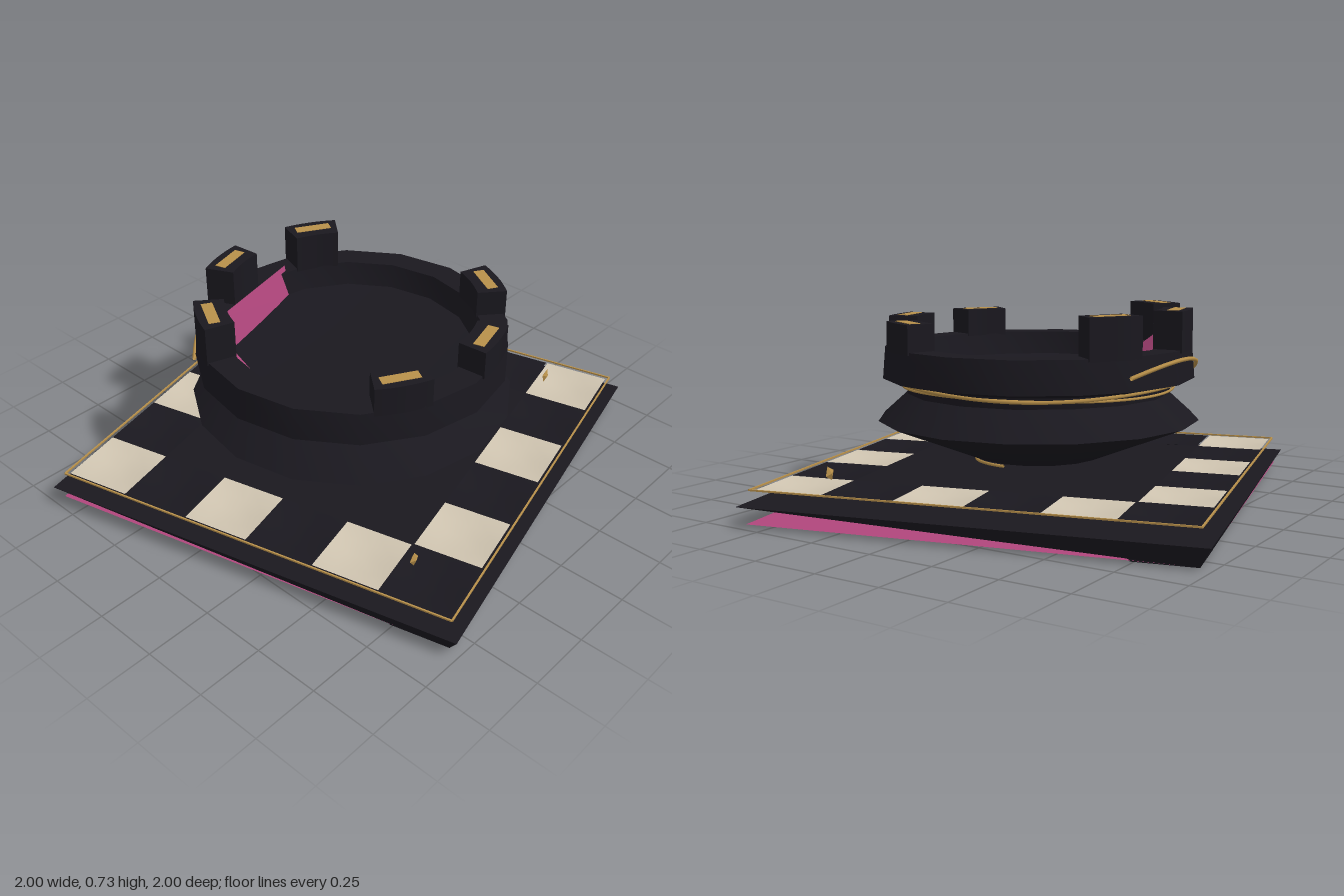
import * as THREE from 'three';
import { toCreasedNormals } from 'three/addons/utils/BufferGeometryUtils.js';

const paint = (color) => new THREE.MeshStandardMaterial({ color, side: THREE.DoubleSide });
const black = paint(0x1a181f);
const cream = paint(0xcfc4b0);
const pink = paint(0xb0467c);
const gold = paint(0xb8904a);

function add(parent, name, geometry, material, x = 0, y = 0, z = 0) {
  const mesh = new THREE.Mesh(geometry, material);
  mesh.name = name;
  mesh.position.set(x, y, z);
  parent.add(mesh);
  return mesh;
}

// Flat sheet fanned from the first of a few corner points
function sheet(points) {
  const pos = [];
  for (let i = 1; i < points.length - 1; i++) pos.push(...points[0], ...points[i], ...points[i + 1]);
  const g = new THREE.BufferGeometry();
  g.setAttribute('position', new THREE.Float32BufferAttribute(pos, 3));
  g.computeVertexNormals();
  return g;
}

// Thin strand through a list of points
function strand(points, radius, closed = false) {
  const curve = new THREE.CatmullRomCurve3(points.map((p) => new THREE.Vector3(...p)), closed);
  return new THREE.TubeGeometry(curve, 96, radius, 5, closed);
}

// Points around a circle; rise gives the height at each angle
function ringPoints(r, rise, from = 0, to = Math.PI * 2, n = 24) {
  return Array.from({ length: n }, (_, i) => {
    const a = from + ((to - from) * i) / n;
    return [r * Math.cos(a), rise(a), r * Math.sin(a)];
  });
}

// Square tile whose middle sags below its rim
function saggingTile(size, sag) {
  const g = new THREE.PlaneGeometry(size, size, 4, 4).rotateX(-Math.PI / 2);
  const p = g.attributes.position;
  for (let i = 0; i < p.count; i++) {
    const u = (2 * p.getX(i)) / size, v = (2 * p.getZ(i)) / size;
    p.setY(i, -sag * (1 - u * u) * (1 - v * v));
  }
  g.computeVertexNormals();
  return g;
}

function buildBoard() {
  const board = new THREE.Group();
  board.name = 'board';
  board.rotation.y = Math.atan(0.25);
  const h = 0.825, top = 0.075, b = 0.785, w = 0.22;

  // Top plate, with walls that taper away toward the two side corners
  add(board, 'boardTop', sheet([[-h, top, -h], [-h, top, h], [h, top, h], [h, top, -h]]), black);
  for (const s of [1, -1]) {
    const foot = [-s * b, 0, s * b], corner = [-s * h, top, s * h];
    add(board, 'boardWall', sheet([corner, foot, [s * h, top, s * h]]), black);
    add(board, 'boardWall', sheet([corner, [-s * h, top, -s * h], foot]), black);
    // Coloured underside, one sloping half on each side of the spine
    add(board, 'underside', sheet([[-b, 0.003, b], [b, 0.003, -b], [s * 0.8, s > 0 ? 0.01 : 0.025, s * 0.8]]), pink);
  }

  // Black spine under the plate, running between the front and back corners
  const outline = [[-b, -b], [-b, -b + w], [-0.08, 0.08], [b - w, b], [b, b], [b, b - w], [0.08, -0.08], [-b + w, -b]];
  const spine = new THREE.ExtrudeGeometry(new THREE.Shape(outline.map(([x, y]) => new THREE.Vector2(x, y))),
    { depth: 0.07, bevelEnabled: false });
  add(board, 'undersideSpine', spine.rotateX(-Math.PI / 2), black);

  // Chequered border of floating tiles
  const pitch = 0.26;
  const tile = saggingTile(0.253, 0.018);
  for (let i = 0; i < 6; i++) {
    for (let j = 0; j < 6; j++) {
      if (i % 5 && j % 5) continue;
      const light = (i + j) % 2 === 0;
      add(board, light ? 'lightTile' : 'darkTile', tile, light ? cream : black,
        (i - 2.5) * pitch, 0.127, (j - 2.5) * pitch);
    }
  }

  // Fine wire frame around the tiles
  const f = 0.79;
  const wire = new THREE.BoxGeometry(2 * f, 0.006, 0.006);
  for (let k = 0; k < 4; k++) {
    const a = k * Math.PI / 2;
    add(board, 'frameWire', wire, gold, f * Math.sin(a), 0.13, f * Math.cos(a)).rotation.y = a;
  }
  return board;
}

function buildTower() {
  const tower = new THREE.Group();
  tower.name = 'tower';

  // Flared foot, waist, collar and sunken floor in one profile
  const profile = [[0, 0.16], [0.24, 0.16], [0.612, 0.31], [0.5, 0.41], [0.505, 0.45],
    [0.592, 0.47], [0.582, 0.59], [0.48, 0.59], [0.46, 0.5], [0, 0.48]];
  const body = new THREE.LatheGeometry(profile.map(([x, y]) => new THREE.Vector2(x, y)), 16, Math.PI / 2);
  add(tower, 'towerBody', toCreasedNormals(body, 0.6), black);

  // Battlements: curved blocks with a gold inlay, taller at the back
  const half = 0.182, shape = new THREE.Shape();
  shape.absarc(0, 0, 0.582, -half, half, false);
  shape.absarc(0, 0, 0.47, half, -half, true);
  shape.closePath();
  const inlay = new THREE.BoxGeometry(0.042, 0.004, 0.14);
  for (const deg of [30, 75, 120, 210, 255, 300]) {
    const top = deg < 180 ? 0.688 : 0.73;
    const block = new THREE.Group();
    block.name = 'battlement';
    block.rotation.y = -THREE.MathUtils.degToRad(deg);
    const g = new THREE.ExtrudeGeometry(shape, { depth: top - 0.58, bevelEnabled: false, curveSegments: 4 });
    add(block, 'battlementBlock', g.rotateX(-Math.PI / 2), black, 0, 0.58, 0);
    add(block, 'battlementInlay', inlay, gold, 0.53, top, 0);
    tower.add(block);
  }

  // Coloured lining patches on the inner wall
  add(tower, 'innerLining', sheet([[-0.36, 0.635, -0.34], [-0.33, 0.5, -0.31], [0.11, 0.49, -0.44], [0.12, 0.61, -0.48]]), pink);
  add(tower, 'innerLining', sheet([[-0.49, 0.52, 0.03], [-0.43, 0.5, 0], [-0.4, 0.58, -0.25]]), pink);
  add(tower, 'innerLining', sheet([[0.12, 0.5, 0.42], [0.31, 0.505, 0.3], [0.3, 0.505, 0.35]]), pink);

  // Gold strands at the waist, a loose one at the back and one under the foot
  add(tower, 'waistBand', strand(ringPoints(0.525, (a) => 0.447 + 0.008 * Math.sin(3 * a)), 0.007, true), gold);
  add(tower, 'waistBand', strand(ringPoints(0.515, (a) => 0.437 + 0.006 * Math.cos(2 * a)), 0.005, true), gold);
  add(tower, 'looseStrand', strand(ringPoints(0.597, (a) => 0.46 + 0.1 * Math.sin((a - 3.9) * 2), 3.9, 5.3, 10), 0.008), gold);
  add(tower, 'footBand', strand(ringPoints(0.24, (a) => 0.146 + 0.006 * Math.cos(a), 0, Math.PI), 0.006), gold);
  return tower;
}

export function createModel() {
  const model = new THREE.Group();
  model.name = 'towerOnBoard';
  model.add(buildBoard(), buildTower());

  // Small floating gold gems
  for (const [x, z] of [[-0.47, 0.71], [0.74, 0.4]]) {
    const gem = add(model, 'gem', new THREE.OctahedronGeometry(0.026), gold, x, 0.17, z);
    gem.scale.set(0.85, 1.1, 0.4);
    gem.rotation.z = x > 0 ? -0.4 : 0;
  }
  return model;
}
